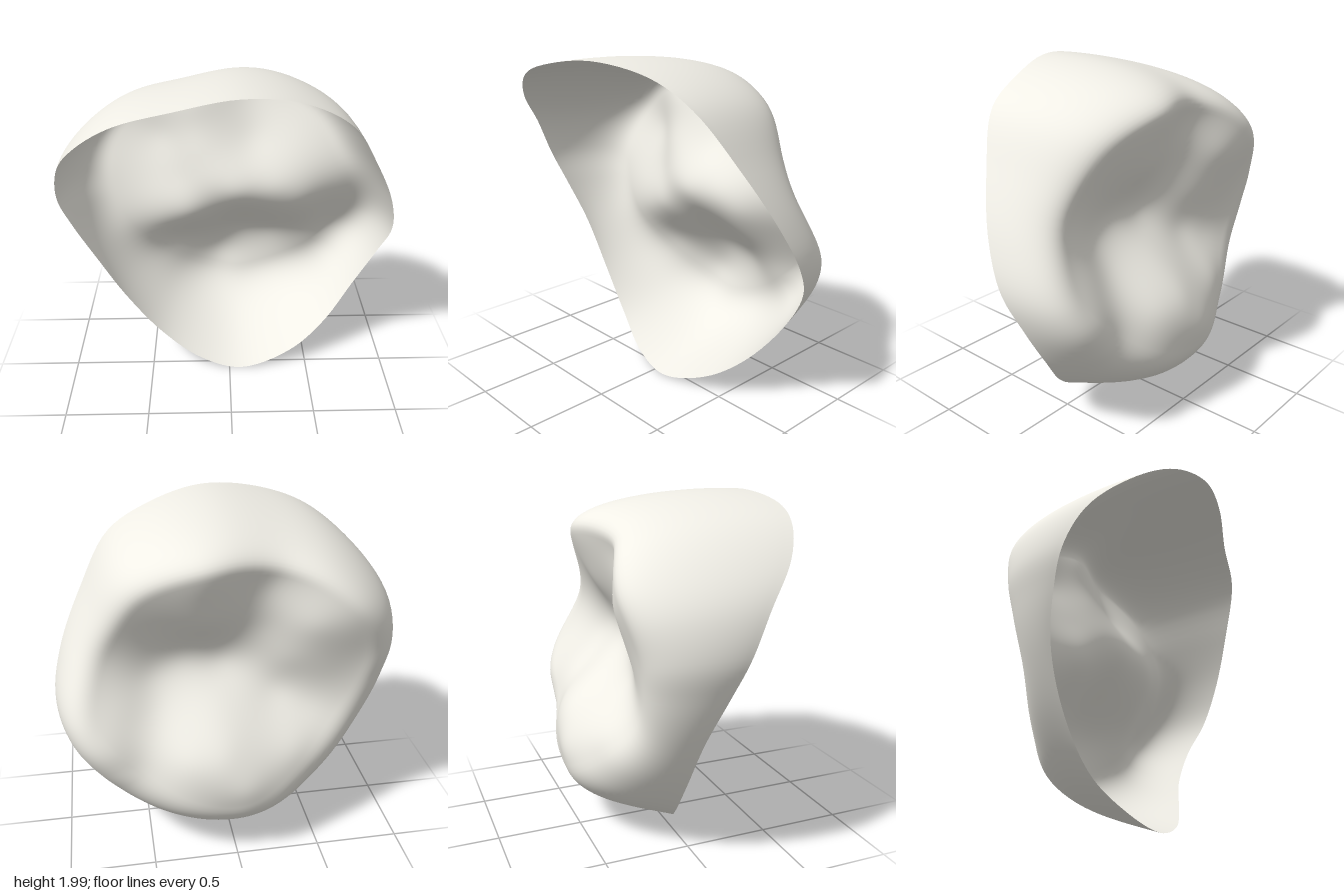
import * as THREE from 'three';
import { mergeVertices } from 'three/addons/utils/BufferGeometryUtils.js';

// Open margin of the shell: x, y, z, counter-clockwise seen from the front
const RIM = [
  [0.08, 0, 0.07], [0.4, 0.1, 0.02], [0.62, 0.26, -0.07], [0.81, 0.5, -0.16], [0.95, 0.75, -0.15],
  [1, 0.95, -0.05], [0.95, 1.2, 0.08], [0.81, 1.5, 0.23], [0.63, 1.78, 0.37], [0.38, 1.92, 0.43],
  [0.05, 1.985, 0.54], [-0.3, 1.94, 0.6], [-0.58, 1.85, 0.54], [-0.8, 1.69, 0.41], [-0.95, 1.48, 0.22],
  [-0.99, 1.25, 0.1], [-0.94, 1.05, 0.02], [-0.83, 0.78, -0.06], [-0.65, 0.46, -0.08],
  [-0.43, 0.2, -0.05], [-0.18, 0.05, 0.03],
].map(p => new THREE.Vector3(...p));

// Heights of the chewing surface: x, y, z
const RELIEF = [
  // upper cusps and the groove between them
  [-0.65, 1.52, -0.46], [-0.8, 1.25, -0.39], [-0.42, 1.45, -0.41], [-0.5, 1.15, -0.34], [-0.3, 1.2, -0.29],
  [-0.22, 1.68, -0.32], [-0.2, 1.4, -0.27], [-0.12, 1.2, -0.2],
  [0.15, 1.76, -0.44], [0.42, 1.68, -0.38], [0.65, 1.46, -0.28], [0.15, 1.45, -0.31],
  // central valley
  [-0.6, 0.85, -0.34], [-0.42, 0.88, -0.31], [-0.25, 0.97, -0.25], [0.05, 1.15, -0.16], [0.3, 1.18, -0.16],
  [0.45, 1.1, -0.19], [0.78, 1.27, -0.26],
  // lower cusps and the groove between them
  [-0.35, 0.7, -0.45], [0.1, 0.95, -0.32], [0.08, 0.75, -0.52], [-0.05, 0.52, -0.6], [-0.38, 0.52, -0.48],
  [0.28, 0.72, -0.51], [0.25, 0.5, -0.56], [0.06, 0.36, -0.56], [0.42, 0.92, -0.3], [0.54, 0.65, -0.46],
  [0.73, 0.76, -0.485], [0.62, 0.98, -0.33], [0.83, 1.0, -0.37],
];
const MEAN = -0.36;
const kernel = (x, y, p) => Math.hypot(x - p[0], y - p[1], 0.11);

// Weights of a smooth surface through the relief points (Gauss-Jordan elimination)
function solveWeights() {
  const n = RELIEF.length;
  const m = RELIEF.map((p, i) => [
    ...RELIEF.map((q, k) => kernel(p[0], p[1], q) - (i === k ? 0.015 : 0)), p[2] - MEAN]);
  for (let c = 0; c < n; c++) {
    let pivot = c;
    for (let r = c + 1; r < n; r++) if (Math.abs(m[r][c]) > Math.abs(m[pivot][c])) pivot = r;
    [m[c], m[pivot]] = [m[pivot], m[c]];
    for (let r = 0; r < n; r++) {
      if (r === c) continue;
      const f = m[r][c] / m[c][c];
      for (let k = c; k <= n; k++) m[r][k] -= f * m[c][k];
    }
  }
  return m.map((row, i) => row[n] / row[i]);
}
const WEIGHTS = solveWeights();
const relief = (x, y) => RELIEF.reduce((z, p, i) => z + WEIGHTS[i] * kernel(x, y, p), MEAN);

function crownGeometry(sides = 128, tableRings = 40, wallRings = 22) {
  const rim = new THREE.CatmullRomCurve3(RIM, true);
  const centre = new THREE.Vector3(0.04, 1.06, 0);
  const rings = tableRings + wallRings;
  const positions = [], index = [];

  for (let i = 0; i < sides; i++) {
    const r = rim.getPoint(i / sides);
    // the lower and right walls lean in more than the others
    const upper = THREE.MathUtils.smoothstep(r.y, 0, 1);
    const side = THREE.MathUtils.smoothstep(r.x, 0.3, 0.9);
    const edge = centre.clone().lerp(r, 0.63 + 0.14 * upper);
    edge.z = relief(edge.x, edge.y);

    // chewing surface, from the centre to its edge
    for (let j = 0; j < tableRings; j++) {
      const p = centre.clone().lerp(edge, j / tableRings);
      positions.push(p.x, p.y, relief(p.x, p.y));
    }
    // rounded side wall, continuing the slope at that edge and ending at the margin
    const shoulder = edge.clone().lerp(r, 0.5 + 0.25 * upper);
    const inner = edge.clone().lerp(centre, 0.05);
    const slope = (edge.z - relief(inner.x, inner.y)) / Math.hypot(edge.x - inner.x, edge.y - inner.y);
    const reach = Math.hypot(shoulder.x - edge.x, shoulder.y - edge.y);
    shoulder.z = edge.z + THREE.MathUtils.clamp(slope * reach, -0.05, 0.08);
    const bulge = edge.clone().lerp(r, 0.74 + 0.36 * upper - 0.14 * side * upper);
    bulge.z = THREE.MathUtils.lerp(edge.z, r.z, 0.55);
    const wall = new THREE.CubicBezierCurve3(edge, shoulder, bulge, r);
    for (let j = 0; j <= wallRings; j++) positions.push(...wall.getPoint(j / wallRings));
  }

  const row = rings + 1;
  for (let i = 0; i < sides; i++) {
    for (let j = 0; j < rings; j++) {
      const a = i * row + j, b = a + 1;
      const d = ((i + 1) % sides) * row + j, c = d + 1;
      index.push(a, c, b);
      if (j > 0) index.push(a, d, c);
    }
  }
  let geometry = new THREE.BufferGeometry();
  geometry.setAttribute('position', new THREE.Float32BufferAttribute(positions, 3));
  geometry.setIndex(index);
  geometry = mergeVertices(geometry);
  geometry.computeVertexNormals();
  return geometry;
}

export function createModel() {
  const group = new THREE.Group();
  group.name = 'toothCrown';
  const material = new THREE.MeshStandardMaterial({ color: 0xf0eee6, side: THREE.DoubleSide });
  const shell = new THREE.Mesh(crownGeometry(), material);
  shell.name = 'crownShell';
  group.add(shell);
  return group;
}
